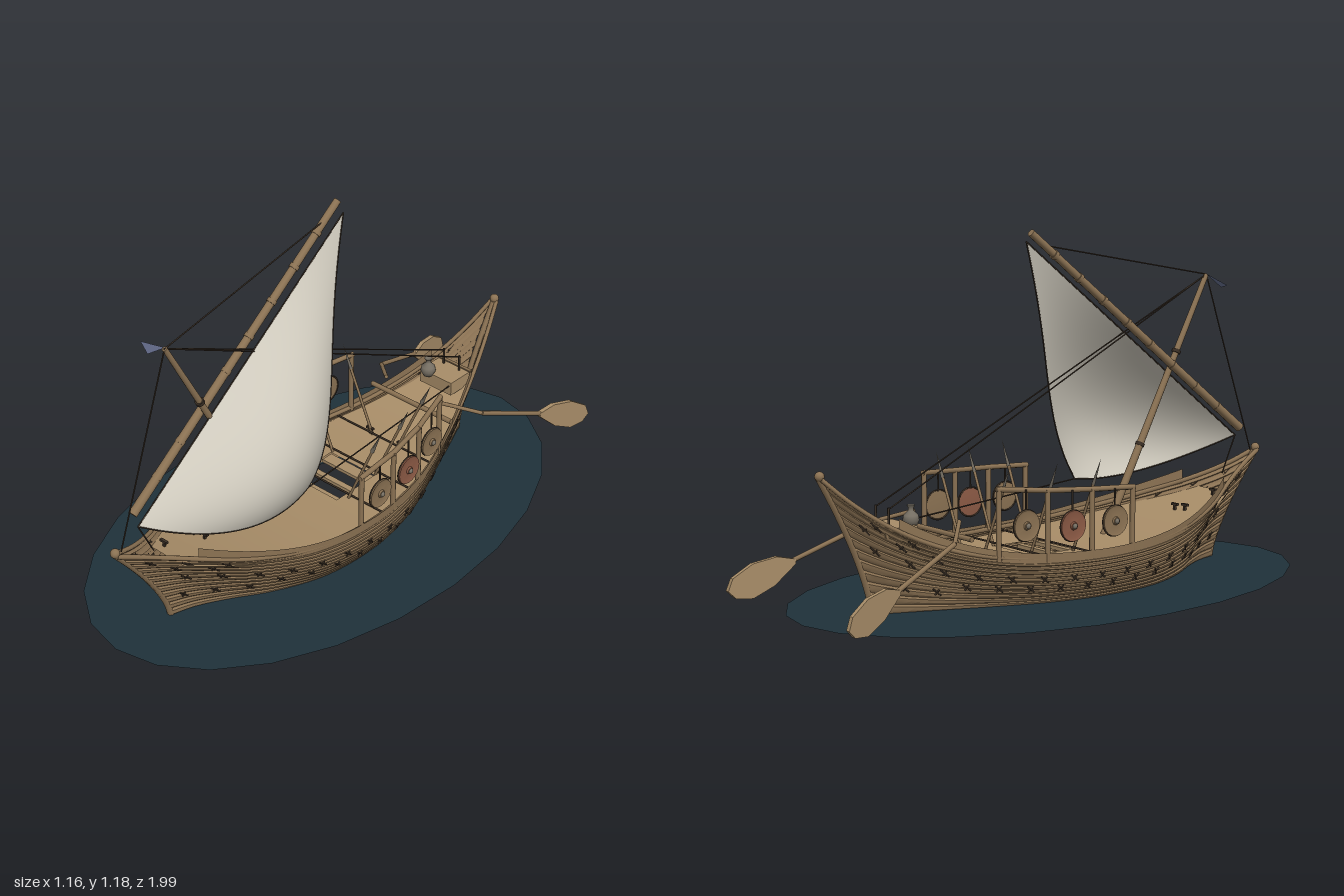
import * as THREE from 'three';
import { toCreasedNormals } from 'three/addons/utils/BufferGeometryUtils.js';

const V = (x, y, z) => new THREE.Vector3(x, y, z);
const mat = (color) => new THREE.MeshStandardMaterial({ color, side: THREE.DoubleSide });
const lerp = THREE.MathUtils.lerp;

// Hull lines: gunwale height and half-width along z
const sheer = (z) => 0.15 + (z > 0 ? 0.21 * (z / 0.97) ** 2.16 : 0.3 * (-z / 0.87) ** 2.9);
const widthCurve = new THREE.CubicInterpolant(
  [-0.87, -0.7, -0.6, -0.4, -0.2, 0, 0.1, 0.25, 0.4, 0.6, 0.75, 0.87, 0.97],
  [0.008, 0.07, 0.105, 0.175, 0.237, 0.272, 0.277, 0.272, 0.247, 0.172, 0.09, 0.035, 0.008], 1, [0]);
const width = (z) => widthCurve.evaluate(z)[0];

// Point on the hull: u from bow to stern, v from waterline to gunwale
function hullPoint(u, v, side, out = 0) {
  const zt = lerp(0.97, -0.87, u);
  const fullness = 1 - 0.11 * (1 - v) ** 3 + 0.16 * v * (1 - v);
  return V(side * (width(zt) * fullness + out), v * sheer(zt),
    lerp(lerp(0.75, -0.68, u), zt, v ** 1.4));
}

// Surface through a grid of points
function grid(fn, nu, nv) {
  const pos = [], index = [];
  for (let i = 0; i <= nu; i++) for (let j = 0; j <= nv; j++) {
    pos.push(...fn(i / nu, j / nv, j).toArray());
    if (i < nu && j < nv) {
      const a = i * (nv + 1) + j, b = a + nv + 1;
      index.push(a, b, a + 1, b, b + 1, a + 1);
    }
  }
  const g = new THREE.BufferGeometry();
  g.setAttribute('position', new THREE.Float32BufferAttribute(pos, 3));
  g.setIndex(index);
  g.computeVertexNormals();
  return g;
}

export function createModel() {
  const model = new THREE.Group();
  const wood = mat(0x8b7253), plank = mat(0x8b7253), deckWood = mat(0xa88d68), dark = mat(0x3a2f25);
  const sailCloth = mat(0xcfcabd), water = mat(0x1f313a), red = mat(0x8c5a45);
  const metal = mat(0x777064), blue = mat(0x67708f);

  const add = (name, geometry, material, at) => {
    const m = new THREE.Mesh(geometry, material);
    m.name = name;
    if (at) m.position.copy(at);
    model.add(m);
    return m;
  };
  const rod = (name, a, b, r, material, r2 = r, sides = 8) => {
    const m = add(name, new THREE.CylinderGeometry(r2, r, a.distanceTo(b), sides), material,
      a.clone().add(b).multiplyScalar(0.5));
    m.quaternion.setFromUnitVectors(V(0, 1, 0), b.clone().sub(a).normalize());
    return m;
  };
  const tube = (name, pts, r, material, n = 32) =>
    add(name, new THREE.TubeGeometry(new THREE.CatmullRomCurve3(pts), n, r, 6), material);
  const box = (name, w, h, d, x, y, z, material) =>
    add(name, new THREE.BoxGeometry(w, h, d), material, V(x, y, z));
  const steps = (n, fn) => Array.from({ length: n + 1 }, (_, i) => fn(i / n));

  // Water ring
  const ring = new THREE.RingGeometry(0.41, 1, 24).rotateX(-Math.PI / 2).scale(0.58, 1, 0.965);
  add('water', ring, water, V(0, 0.003, 0.028));

  // Planked hull: each plank swells out between two seams
  const planks = 12;
  for (const s of [1, -1]) {
    const hull = grid((u, _, j) => hullPoint(u, (Math.floor(j / 3) + [0, 0.3, 0.75][j % 3]) / planks, s,
      j % 3 ? 0.006 : 0), 56, planks * 3);
    add('hullSide', toCreasedNormals(hull, 0.5), plank);
    tube('gunwale', steps(24, (u) => hullPoint(u, 1, s, 0.002)), 0.008, wood, 60);

    // Raised bulwark board along the gunwale
    add('bulwark', grid((u, v) => {
      const z = lerp(0.72, -0.64, u), end = Math.abs(2 * u - 1) ** 2;
      return V(s * (width(z) + 0.011 * (1 - end)), sheer(z) - 0.014 + v * (0.03 + 0.025 * end), z);
    }, 40, 1), wood);
  }

  // Stem, sternpost and their knobs
  for (const [name, u] of [['stem', 0], ['sternpost', 1]]) {
    const pts = steps(8, (v) => hullPoint(u, v, 0));
    tube(name, pts, 0.012, wood);
    add(name + 'Knob', new THREE.SphereGeometry(0.016, 12, 8), wood, pts[8].clone().add(V(0, 0.008, 0)));
  }

  // Crossed lashings on the planking
  for (const s of [1, -1]) for (let i = 0; i < 30; i++) {
    const u = 0.04 + 0.92 * i / 29;
    const end = Math.abs(2 * u - 1);
    const rows = end > 0.65 ? [0.25 + 0.3 * (i % 2), 0.86 - 0.12 * (i % 2)] : [0.36 + 0.2 * (i % 2)];
    for (const v of rows) for (const k of [1, -1]) {
      const dv = 0.01 / sheer(lerp(0.97, -0.87, u));
      rod('lashing', hullPoint(u - 0.006, v - k * dv, s, 0.008),
        hullPoint(u + 0.006, v + k * dv, s, 0.008), 0.003, dark, 0.003, 5);
    }
  }

  // Deck in three stretches, leaving a hatch in the middle
  const deckY = (z) => sheer(z) * 0.88;
  for (const s of [1, -1]) for (const [z0, z1, inner] of [[0.76, 0.07, 0], [0.07, -0.12, 0.1], [-0.12, -0.67, 0]])
    add('deck', grid((u, v) => {
      const z = lerp(z0, z1, u);
      return V(s * lerp(inner, width(z), v), deckY(z), z);
    }, 20, 4), deckWood);

  // Deck beams, thwarts, stern crossbeam, transom bar and chest
  for (const z of [0.03, -0.13, -0.28])
    rod('deckBeam', V(-width(z), sheer(z) - 0.006, z), V(width(z), sheer(z) - 0.006, z), 0.0035, dark);
  for (const z of [0.06, -0.015, -0.1]) box('thwart', 0.2, 0.012, z < -0.05 ? 0.045 : 0.022, 0, 0.12, z, deckWood);
  rod('sternCrossbeam', V(-0.18, 0.235, -0.425), V(0.18, 0.235, -0.425), 0.009, wood);
  box('transomBar', 0.15, 0.02, 0.012, 0, 0.265, -0.672, wood);
  box('sternChest', 0.14, 0.05, 0.1, 0, 0.255, -0.605, deckWood);
  for (const [x, z] of [[-0.07, -0.29], [0.07, -0.29], [-0.06, 0.58], [-0.02, 0.57], [-0.05, 0.72]]) {
    box('cleat', 0.03, 0.008, 0.01, x, deckY(z) + 0.02, z, dark);
    box('cleatFoot', 0.008, 0.02, 0.008, x, deckY(z) + 0.01, z, dark);
  }
  const jar = [[0, 0], [0.018, 0.003], [0.027, 0.022], [0.024, 0.038], [0.009, 0.052], [0.009, 0.062], [0.014, 0.07]];
  add('jar', new THREE.LatheGeometry(jar.map((p) => new THREE.Vector2(...p)), 16), metal, V(-0.035, 0.27, -0.555));

  // Shield racks with spears
  for (const s of [1, -1]) {
    const railAt = (z) => V(s * (width(z) + 0.003), 0.362 - 0.06 * z + (z < -0.2 ? 0.005 : 0), z);
    const posts = [0.15, -0.015, -0.175, -0.335];
    for (const z of posts) {
      const top = railAt(z);
      rod('rackPost', V(top.x, sheer(z) - 0.01, z), top, 0.009, wood);
    }
    for (let i = 0; i < 3; i++) rod('rackRail', railAt(posts[i] + 0.008), railAt(posts[i + 1] - 0.008), 0.009, wood);

    [0.068, -0.093, -0.253].forEach((z, i) => {
      const c = railAt(z).add(V(s * 0.008, 0, 0));
      const y = i === 2 ? 0.267 : 0.253;
      const shield = new THREE.Group();
      shield.name = 'shield';
      const face = [[0, 0.014], [0.012, 0.012], [0.014, 0.006], [0.042, 0.004], [0.05, 0.007], [0.051, 0], [0, -0.004]];
      shield.add(new THREE.Mesh(toCreasedNormals(new THREE.LatheGeometry(
        face.map((p) => new THREE.Vector2(...p)), 20), 0.5), i === 1 ? red : wood));
      const rim = new THREE.Mesh(new THREE.TorusGeometry(0.05, 0.003, 6, 20).rotateX(Math.PI / 2), dark);
      const boss = new THREE.Mesh(new THREE.SphereGeometry(0.01, 10, 6), metal);
      boss.position.y = 0.01;
      shield.add(rim, boss);
      shield.position.set(c.x, y, z);
      shield.rotation.z = -s * Math.PI / 2;
      model.add(shield);
      rod('shieldCord', V(c.x, y + 0.045, z), V(c.x, c.y, z), 0.003, dark);

      // Spear leaning outward against the rack
      const zs = z - 0.035, tip = V(s * (width(zs) - 0.015), 0.455, zs), foot = V(tip.x - s * 0.14, deckY(zs), zs);
      const neck = tip.clone().lerp(foot, 0.27);
      rod('spearShaft', foot, neck, 0.005, wood);
      rod('spearHead', neck, tip, 0.008, metal, 0, 4);
    });

    // Steering oar with its tiller and blade
    const oarX = (z) => 0.23 + 0.234 * (-z - 0.53);
    const bend = V(s * 0.23, 0.242, -0.53);
    rod('oarTiller', V(s * 0.12, 0.285, -0.43), bend, 0.007, wood);
    rod('oarShaft', bend, V(s * oarX(-0.85), 0.115, -0.85), 0.008, wood);
    const outline = [[0.78, 0.145], [0.84, 0.158], [0.92, 0.142], [0.985, 0.1], [1, 0.06], [0.975, 0.035],
      [0.92, 0.03], [0.85, 0.065], [0.78, 0.13]].map((p) => new THREE.Vector2(...p));
    const blade = new THREE.ExtrudeGeometry(new THREE.Shape(outline), { depth: 0.016, bevelEnabled: false })
      .translate(0, 0, -0.008).rotateY(Math.PI / 2);
    const p = blade.attributes.position;
    for (let i = 0; i < p.count; i++) p.setX(i, p.getX(i) + s * oarX(p.getZ(i)));
    blade.computeVertexNormals();
    add('oarBlade', blade, deckWood);
  }

  // Raked mast and slanting yard with lashing collars
  const mastTop = V(0, 0.995, 0.725), mastFoot = V(0, 0.12, 0.26);
  rod('mast', mastFoot, mastTop, 0.015, wood, 0.009, 10);
  const yardLow = V(-0.022, 0.45, 0.87), yardHigh = V(-0.022, 1.17, -0.065);
  rod('yard', yardLow, yardHigh, 0.016, wood, 0.013, 10);
  for (let i = 1; i < 9; i++) {
    const a = yardLow.clone().lerp(yardHigh, i / 9), b = yardLow.clone().lerp(yardHigh, i / 9 + 0.012);
    rod('yardCollar', a, b, 0.0168, wood, 0.0168, 10);
  }
  for (const t of [0.35, 0.7])
    rod('mastCollar', mastFoot.clone().lerp(mastTop, t), mastFoot.clone().lerp(mastTop, t + 0.012), 0.016, dark);

  // Billowing triangular sail, fanned out from the loose corner
  const tack = V(0.005, 0.42, 0.875), head = V(0.008, 1.14, -0.06), clew = V(0.148, 0.31, 0.26);
  const sailPoint = (a, r) => {
    const h = a * r, t = (1 - a) * r, c = 1 - r;
    const q = V(0, 0, 0).addScaledVector(head, h).addScaledVector(tack, t).addScaledVector(clew, c);
    q.x += 0.45 * h * c ** 3 + 0.28 * t * c + 3.2 * h * t * c * (1 - h);
    q.y -= 0.22 * t * c * (1 - h);
    return q;
  };
  add('sail', grid(sailPoint, 28, 28), sailCloth);
  for (const [name, edge] of [['luffRope', (t) => sailPoint(t, 1)], ['leechRope', (t) => sailPoint(1, t)],
    ['footRope', (t) => sailPoint(0, t)]]) tube(name, steps(12, edge), 0.0025, dark);

  // Rigging
  const ropes = [[mastTop, V(-0.02, 1.125, 0)], [mastTop, V(0, 0.36, 0.945)],
    [mastTop, V(-0.035, 0.335, -0.64)], [mastTop, V(0.035, 0.335, -0.64)],
    [clew, V(0.06, 0.265, -0.56)], [tack, V(0, 0.29, 0.81)]];
  for (const [a, b] of ropes) rod('rope', a, b, 0.0025, dark, 0.0025, 5);
  for (const x of [-0.035, 0.035]) rod('ropePin', V(x, 0.27, -0.64), V(x, 0.34, -0.64), 0.004, dark);

  // Pennant at the masthead
  const flag = new THREE.BufferGeometry().setFromPoints([V(0, 0.998, 0.722), V(-0.12, 0.965, 0.712), V(-0.065, 0.953, 0.735)]);
  flag.computeVertexNormals();
  add('pennant', flag, blue);

  return model;
}
